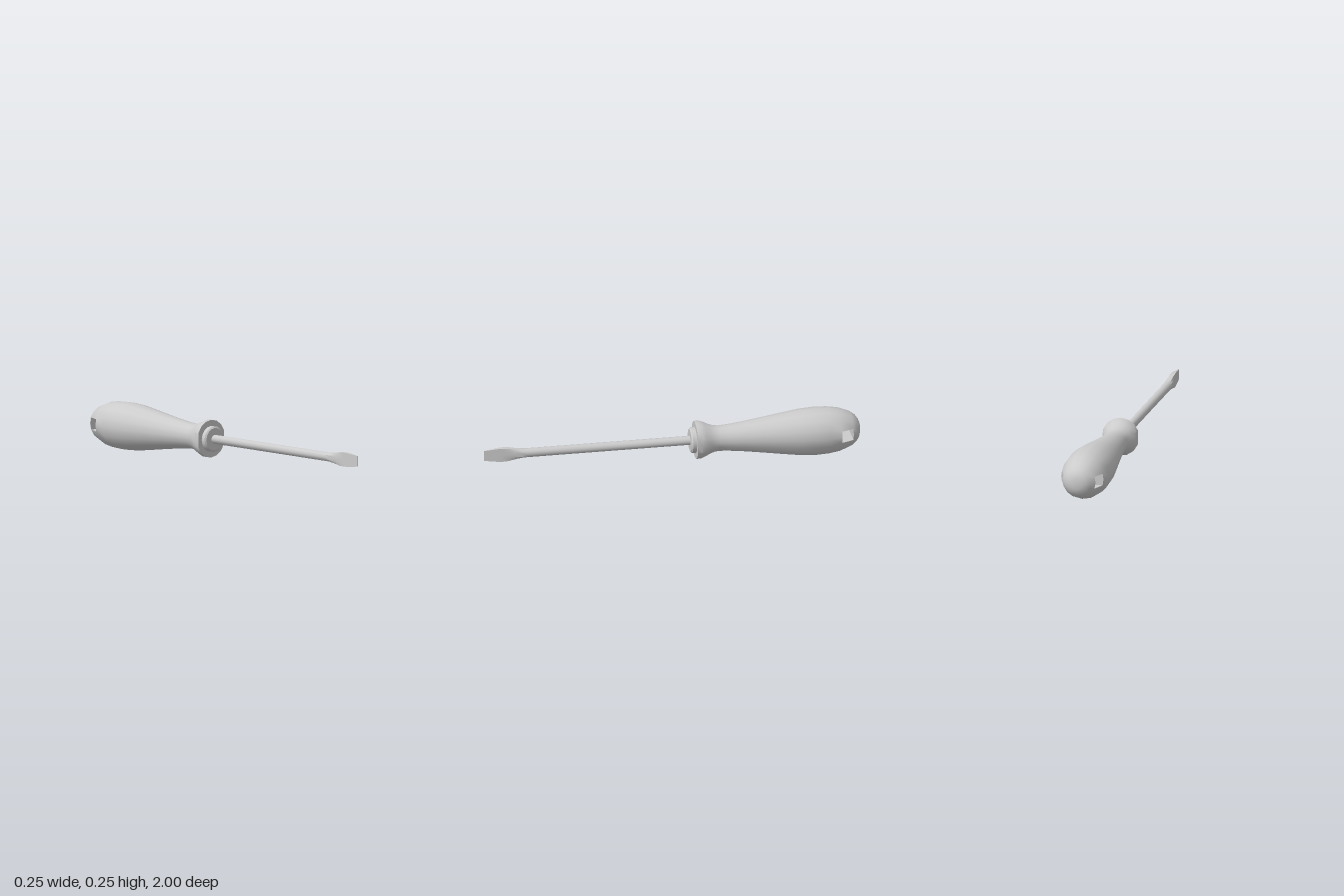
import * as THREE from 'three';
import { toCreasedNormals } from 'three/addons/utils/BufferGeometryUtils.js';

const AXIS_Y = 0.13;

// Skins rings of [x, y, z] points (anticlockwise seen from +z, ordered by rising z) and caps both ends.
function loft(rings, skip = () => false, extraQuads = []) {
  const n = rings[0].length, last = rings.length - 1;
  const points = rings.flat(), index = [];
  const id = (i, j) => i * n + (j % n);
  const quad = (a, b, c, d) => index.push(a, b, c, a, c, d);
  for (let i = 0; i < last; i++)
    for (let j = 0; j < n; j++)
      if (!skip(i, j)) quad(id(i, j), id(i, j + 1), id(i + 1, j + 1), id(i + 1, j));
  for (const corners of extraQuads) quad(...corners.map(([i, j]) => id(i, j)));
  const back = points.push([0, 0, rings[0][0][2]]) - 1;
  const front = points.push([0, 0, rings[last][0][2]]) - 1;
  for (let j = 0; j < n; j++) {
    index.push(back, id(0, j + 1), id(0, j));
    index.push(front, id(last, j), id(last, j + 1));
  }
  const geometry = new THREE.BufferGeometry();
  geometry.setAttribute('position', new THREE.Float32BufferAttribute(points.flat(), 3));
  geometry.setIndex(index);
  return toCreasedNormals(geometry, 0.6);
}

// Ring of n points placed by a rule that receives cosine, sine and point number.
const ring = (n, place) => Array.from({ length: n }, (_, j) => {
  const a = (j / n) * Math.PI * 2;
  return place(Math.cos(a), Math.sin(a), j);
});

function handleGeometry() {
  const profile = [ // z, radius
    [-1, 0.03], [-0.993, 0.05], [-0.98, 0.07], [-0.955, 0.09], [-0.89, 0.115],
    [-0.83, 0.124], [-0.76, 0.127], [-0.68, 0.122], [-0.58, 0.108], [-0.48, 0.093],
    [-0.38, 0.079], [-0.3, 0.07], [-0.25, 0.067], [-0.225, 0.07], [-0.2, 0.078],
    [-0.175, 0.09], [-0.15, 0.1], [-0.125, 0.1],
  ];
  const hole = 3, half = 0.032, flat = 0.091;
  const rings = profile.map(([z, r], i) => ring(16, (c, s, j) => {
    let x = c * r, y = s * r;
    // Pull the points beside the hanging hole onto its square outline
    if ((i === hole || i === hole + 1) && j % 2 && Math.abs(s) < 0.5) {
      y = Math.sign(s) * half;
      x = Math.sign(c) * Math.sqrt(r * r - half * half);
    }
    // Flats on both sides of the flange
    if (z > -0.25) x = THREE.MathUtils.clamp(x, -flat, flat);
    return [x, y, z];
  }));
  const a = hole, b = hole + 1;
  const tunnel = [
    [[a, 15], [a, 9], [b, 9], [b, 15]], // floor
    [[a, 1], [b, 1], [b, 7], [a, 7]], // ceiling
    [[a, 15], [a, 0], [a, 8], [a, 9]], [[a, 0], [a, 1], [a, 7], [a, 8]], // rear wall
    [[b, 15], [b, 9], [b, 8], [b, 0]], [[b, 0], [b, 8], [b, 7], [b, 1]], // front wall
  ];
  return loft(rings, (i, j) => i === hole && [15, 0, 7, 8].includes(j), tunnel);
}

function shaftGeometry() {
  const r = 0.024;
  const stations = [ // z, half thickness, half height, squareness
    [-0.12, r, r, 1], [0.77, r, r, 1], [0.8, 0.0215, 0.025, 1.03], [0.84, 0.0175, 0.03, 1.09],
    [0.87, 0.0145, 0.035, 1.16], [0.9, 0.0115, 0.037, 1.16], [0.93, 0.0085, 0.036, 1.16],
    [1, 0.002, 0.028, 1.16],
  ];
  return loft(stations.map(([z, t, h, q]) => ring(12, (c, s) => [
    THREE.MathUtils.clamp(c * r, -t, t),
    h * THREE.MathUtils.clamp(s * q, -1, 1),
    z,
  ])));
}

// Bevelled collar between handle and shaft
const collarGeometry = () => loft([[-0.14, 0.068], [-0.104, 0.068], [-0.097, 0.06]]
  .map(([z, r]) => ring(16, (c, s) => [c * r, s * r, z])));

export function createModel() {
  const group = new THREE.Group();
  group.name = 'screwdriver';
  const material = new THREE.MeshStandardMaterial({ color: 0xcccccc });
  const parts = { handle: handleGeometry(), collar: collarGeometry(), shaftAndBlade: shaftGeometry() };
  for (const [name, geometry] of Object.entries(parts)) {
    const mesh = new THREE.Mesh(geometry, material);
    mesh.name = name;
    mesh.position.y = AXIS_Y;
    group.add(mesh);
  }
  return group;
}
